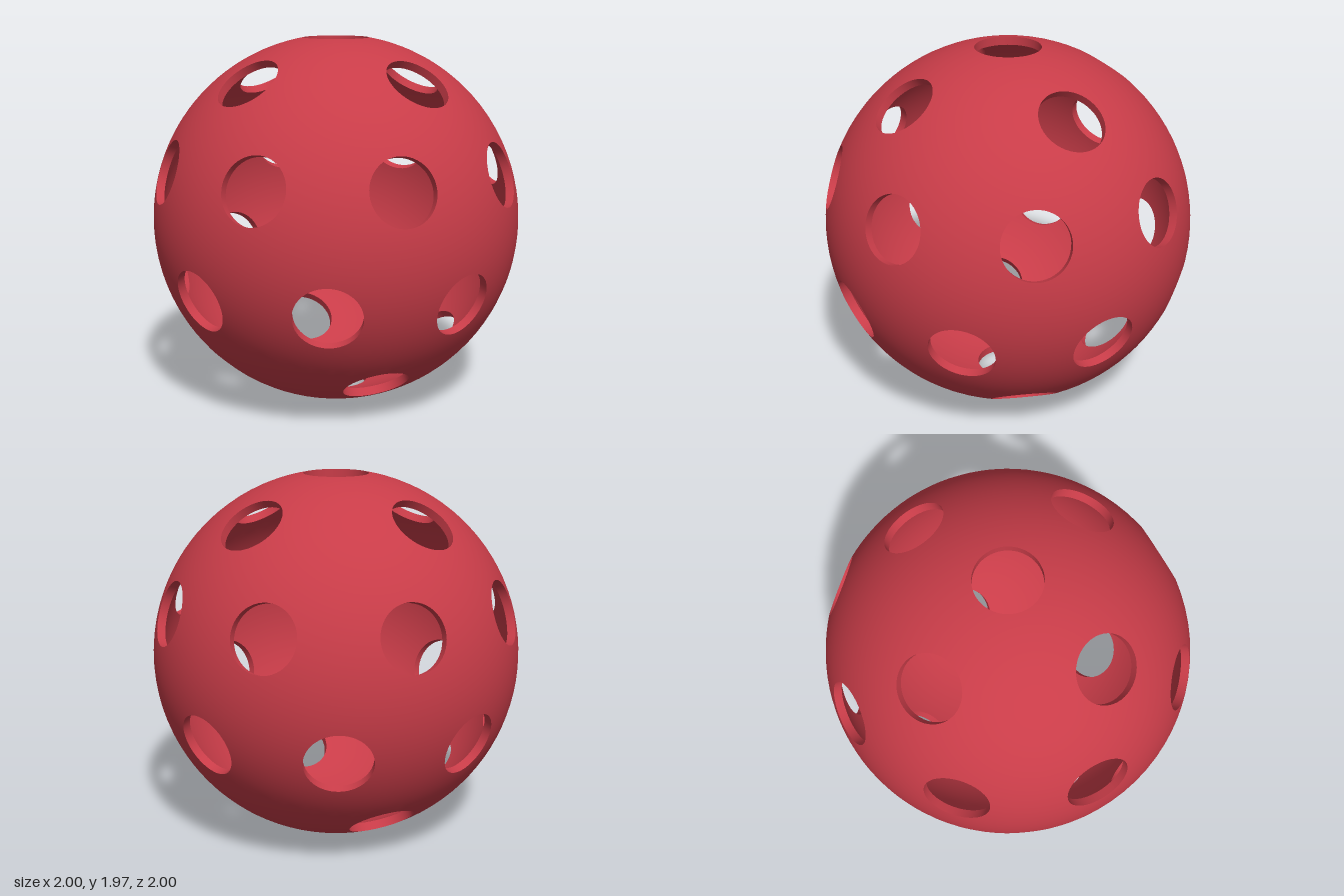
import * as THREE from 'three';
import { ConvexGeometry } from 'three/addons/geometries/ConvexGeometry.js';
import { mergeGeometries } from 'three/addons/utils/BufferGeometryUtils.js';

const OUTER = 1, INNER = 0.955, HOLE = 0.175, SIDES = 48;
const outerPlane = Math.sqrt(OUTER ** 2 - HOLE ** 2);
const innerPlane = Math.sqrt(INNER ** 2 - HOLE ** 2);
const UP = new THREE.Vector3(0, 1, 0);

// Hole axes: one at each pole and four rings between them
function holeAxes() {
  const axes = [new THREE.Vector3(0, 1, 0), new THREE.Vector3(0, -1, 0)];
  const rings = [[52, 4, 22.5], [18, 8, 0], [-18, 8, 22.5], [-52, 4, 0]];
  for (const [latitude, count, start] of rings) {
    for (let i = 0; i < count; i++) {
      axes.push(new THREE.Vector3().setFromSphericalCoords(
        1,
        THREE.MathUtils.degToRad(90 - latitude),
        THREE.MathUtils.degToRad(start + (360 / count) * i)
      ));
    }
  }
  return axes;
}

// Points on the unit sphere: each hole's centre and rim, and an even spread between the holes
function spherePoints(axes) {
  const points = [];
  for (const axis of axes) {
    const turn = new THREE.Quaternion().setFromUnitVectors(UP, axis);
    points.push(axis.clone());
    for (let i = 0; i < SIDES; i++) {
      const a = (i / SIDES) * Math.PI * 2;
      points.push(new THREE.Vector3(HOLE * Math.sin(a), outerPlane, HOLE * Math.cos(a)).applyQuaternion(turn));
    }
  }
  const clear = Math.cos(Math.asin(HOLE) + 0.025);
  const count = 3500, golden = Math.PI * (3 - Math.sqrt(5));
  for (let i = 0; i < count; i++) {
    const p = new THREE.Vector3().setFromSphericalCoords(1, Math.acos(1 - (2 * i + 1) / count), i * golden);
    if (axes.every((axis) => axis.dot(p) < clear)) points.push(p);
  }
  return points;
}

// Hull of the points, without the triangles that close the holes
function shellTriangles(axes) {
  const pos = new ConvexGeometry(spherePoints(axes)).getAttribute('position');
  const triangles = [];
  for (let i = 0; i < pos.count; i += 3) {
    const tri = [0, 1, 2].map((k) => new THREE.Vector3().fromBufferAttribute(pos, i + k));
    const middle = tri[0].clone().add(tri[1]).add(tri[2]).normalize();
    if (axes.every((axis) => axis.dot(middle) < outerPlane)) triangles.push(tri);
  }
  return triangles;
}

function shellGeometry(triangles, place, facing) {
  const corners = triangles.flatMap((t) => (facing > 0 ? t : [t[0], t[2], t[1]]));
  const geometry = new THREE.BufferGeometry().setFromPoints(corners.map(place));
  const normals = corners.flatMap((p) => [p.x * facing, p.y * facing, p.z * facing]);
  geometry.setAttribute('normal', new THREE.Float32BufferAttribute(normals, 3));
  return geometry;
}

export function createModel() {
  const group = new THREE.Group();
  group.name = 'perforatedBall';
  const material = new THREE.MeshStandardMaterial({ color: 0xc83c48 });
  const rimMaterial = new THREE.MeshStandardMaterial({ color: 0xc83c48, side: THREE.DoubleSide });
  const axes = holeAxes();
  const triangles = shellTriangles(axes);

  const add = (name, geometry, mat) => {
    const mesh = new THREE.Mesh(geometry, mat);
    mesh.name = name;
    mesh.position.y = outerPlane;
    group.add(mesh);
  };

  // Outer and inner skins; rim points move straight along their hole's axis
  const toInner = (p) => {
    const axis = axes.find((a) => Math.abs(a.dot(p) - outerPlane) < 1e-4);
    return axis
      ? p.clone().addScaledVector(axis, innerPlane - outerPlane)
      : p.clone().multiplyScalar(INNER);
  };
  add('outerShell', shellGeometry(triangles, (p) => p.clone(), 1), material);
  add('innerShell', shellGeometry(triangles, toInner, -1), material);

  // Hole walls through the thickness of the shell
  const walls = axes.map((axis) => {
    const wall = new THREE.CylinderGeometry(HOLE, HOLE, outerPlane - innerPlane, SIDES, 1, true);
    wall.scale(1, 1, 1).translate(0, (outerPlane + innerPlane) / 2, 0);
    return wall.applyQuaternion(new THREE.Quaternion().setFromUnitVectors(UP, axis));
  });
  add('holeWalls', mergeGeometries(walls), rimMaterial);

  return group;
}
